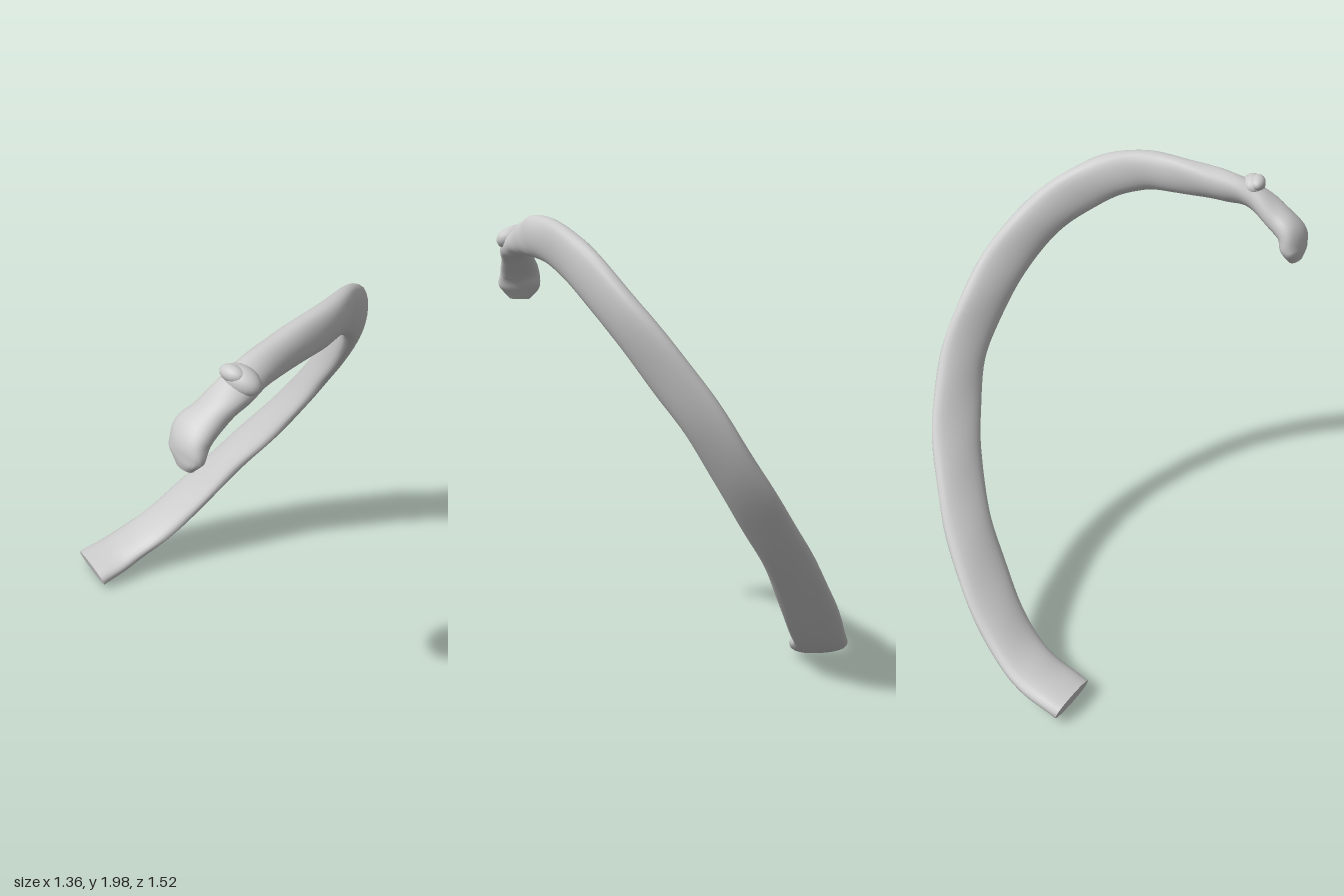
import * as THREE from 'three';

// Stations from head to front end: centre x, y, z, half width, half thickness, twist (degrees)
const STATIONS = [
  [-0.645, 1.625, 0.65, 0.045, 0.022, -15],
  [-0.635, 1.68, 0.65, 0.09, 0.042, -15],
  [-0.61, 1.745, 0.65, 0.088, 0.05, -22],
  [-0.54, 1.80, 0.66, 0.072, 0.05, -30],
  [-0.44, 1.86, 0.67, 0.07, 0.05, -10],
  [-0.3, 1.893, 0.65, 0.068, 0.056, 30],
  [-0.1, 1.91, 0.63, 0.078, 0.052, 52],
  [0.05, 1.912, 0.605, 0.088, 0.05, 56],
  [0.2, 1.87, 0.53, 0.094, 0.048, 54],
  [0.36, 1.76, 0.43, 0.099, 0.046, 50],
  [0.49, 1.6, 0.31, 0.101, 0.044, 46],
  [0.57, 1.4, 0.16, 0.102, 0.042, 43],
  [0.605, 1.2, 0.02, 0.104, 0.04, 42],
  [0.58, 0.98, -0.115, 0.108, 0.04, 43],
  [0.505, 0.77, -0.25, 0.111, 0.04, 42],
  [0.4, 0.575, -0.37, 0.114, 0.042, 39],
  [0.26, 0.37, -0.475, 0.118, 0.042, 36],
  [0.1, 0.2, -0.565, 0.12, 0.042, 35],
  [-0.05, 0.115, -0.615, 0.12, 0.044, 34],
  [-0.21, 0.065, -0.64, 0.122, 0.052, 33],
];
const RINGS = 120, SIDES = 24;
const PLANE_NORMAL = new THREE.Vector3(0, 0.56, -0.83);

const spline = (pick) => new THREE.CatmullRomCurve3(
  STATIONS.map((s) => new THREE.Vector3(...pick(s))), false, 'catmullrom', 0.5);

// One twisted oval cross-section of the bone
function ring(path, size, t) {
  const centre = path.getPoint(t);
  const T = path.getTangent(t);
  const R = new THREE.Vector3().crossVectors(T, PLANE_NORMAL).normalize();
  const N = new THREE.Vector3().crossVectors(R, T);
  const { x: a, y: b, z: deg } = size.getPoint(t);
  const twist = THREE.MathUtils.degToRad(deg);
  const A = N.clone().multiplyScalar(Math.cos(twist)).addScaledVector(R, Math.sin(twist));
  const B = R.clone().multiplyScalar(Math.cos(twist)).addScaledVector(N, -Math.sin(twist));
  const points = [];
  for (let j = 0; j < SIDES; j++) {
    const angle = (j / SIDES) * Math.PI * 2;
    // slight natural unevenness along the shaft
    const k = 1 + 0.02 * Math.sin(t * 47 + 2 * angle) + 0.015 * Math.sin(t * 83 - 3 * angle);
    const c = Math.cos(angle), s = Math.sin(angle);
    points.push(centre.clone()
      .addScaledVector(A, a * k * c)
      .addScaledVector(B, b * k * Math.sign(s) * Math.abs(s) ** 0.85));
  }
  return { centre, points };
}

function meshFrom(name, points, index, material) {
  const geometry = new THREE.BufferGeometry().setFromPoints(points);
  geometry.setIndex(index);
  geometry.computeVertexNormals();
  const mesh = new THREE.Mesh(geometry, material);
  mesh.name = name;
  return mesh;
}

// Flat end face over a ring
function cap(name, { centre, points }, atStart, material) {
  const index = [];
  for (let j = 0; j < SIDES; j++) {
    const p = j + 1, q = ((j + 1) % SIDES) + 1;
    index.push(0, ...(atStart ? [q, p] : [p, q]));
  }
  return meshFrom(name, [centre, ...points], index, material);
}

export function createModel() {
  const group = new THREE.Group();
  group.name = 'ribBone';
  const bone = new THREE.MeshStandardMaterial({ color: 0xcccccc, roughness: 0.8 });

  // Curved shaft with neck and head
  const path = spline((s) => s.slice(0, 3));
  const size = spline((s) => s.slice(3));
  const rings = [];
  for (let i = 0; i <= RINGS; i++) rings.push(ring(path, size, i / RINGS));
  const index = [];
  for (let i = 0; i < RINGS; i++) {
    for (let j = 0; j < SIDES; j++) {
      const n = (j + 1) % SIDES;
      const a = i * SIDES + j, b = i * SIDES + n;
      index.push(a, b, a + SIDES, b, b + SIDES, a + SIDES);
    }
  }
  group.add(meshFrom('shaft', rings.flatMap((r) => r.points), index, bone));
  group.add(cap('headFace', rings[0], true, bone));
  group.add(cap('frontEndFace', rings[RINGS], false, bone));

  // Knobs where the neck meets the shaft
  const knob = (name, position, radii, tilt) => {
    const mesh = new THREE.Mesh(new THREE.SphereGeometry(1, 20, 14), bone);
    mesh.name = name;
    mesh.position.set(...position);
    mesh.scale.set(...radii);
    mesh.rotation.set(...tilt);
    group.add(mesh);
  };
  knob('tubercle', [-0.425, 1.9, 0.685], [0.05, 0.048, 0.075], [0.25, 0.25, 0]);
  knob('tubercleCrest', [-0.45, 1.925, 0.665], [0.032, 0.03, 0.05], [0, 0.2, 0]);
  return group;
}
